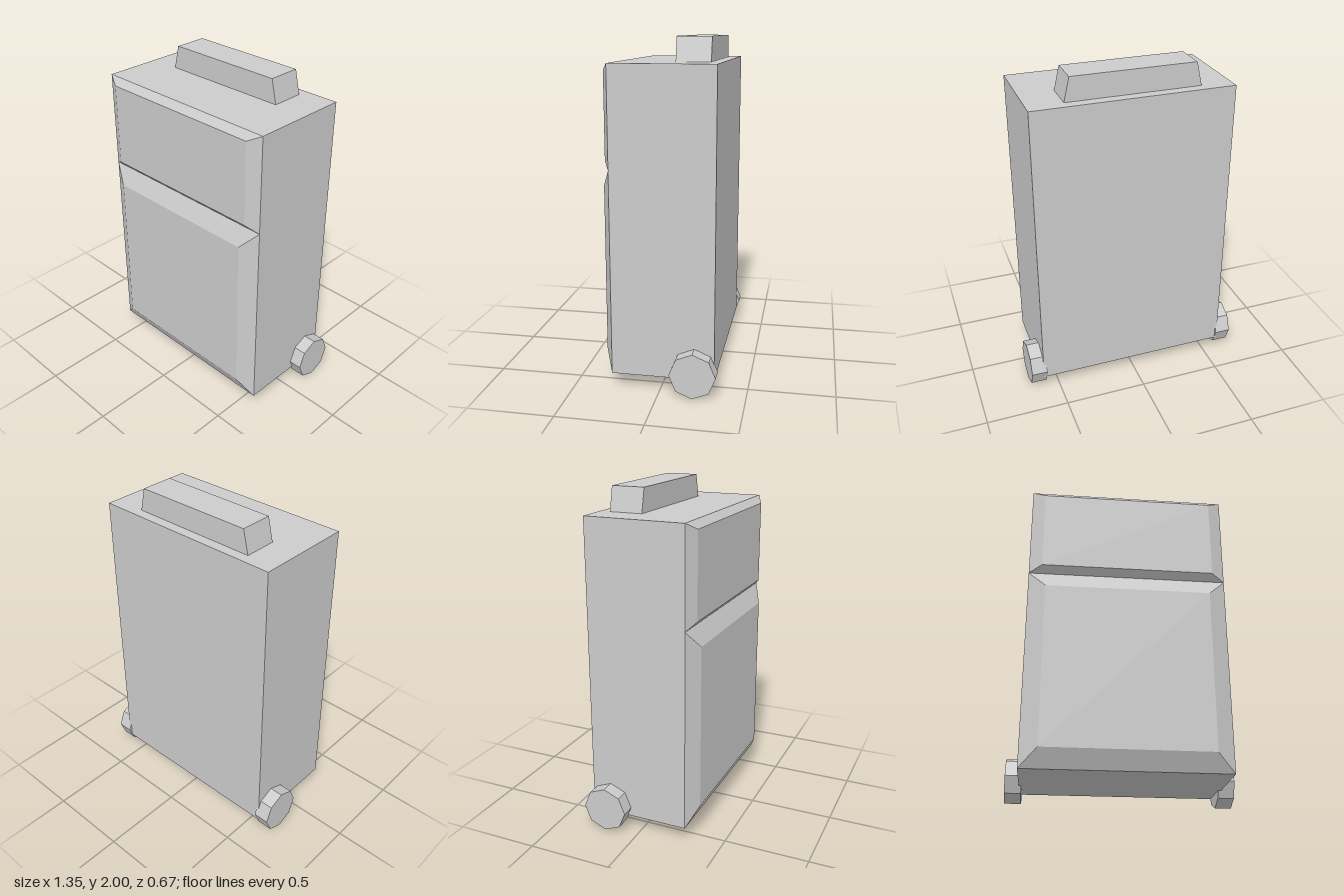
import * as THREE from 'three';

const material = new THREE.MeshStandardMaterial({ color: 0xcccccc, flatShading: true });

function addMesh(parent, name, geometry, x, y, z) {
  const mesh = new THREE.Mesh(geometry, material);
  mesh.name = name;
  mesh.position.set(x, y, z);
  parent.add(mesh);
  return mesh;
}

// Box whose +axis face is inset on the other two axes
function taperedBox(w, h, d, axis, inset) {
  const geometry = new THREE.BoxGeometry(w, h, d);
  const p = geometry.attributes.position;
  const v = new THREE.Vector3();
  for (let i = 0; i < p.count; i++) {
    v.fromBufferAttribute(p, i);
    if (v[axis] > 0) {
      for (const k of Object.keys(inset)) v[k] -= Math.sign(v[k]) * inset[k];
    }
    p.setXYZ(i, v.x, v.y, v.z);
  }
  geometry.computeVertexNormals();
  return geometry;
}

export function createModel() {
  const model = new THREE.Group();
  model.name = 'suitcase';

  // Main case
  const width = 1.19, cx = 0.002, front = 0.283, back = -0.315;
  const bottom = 0.083, split = 1.28, top = 1.86;
  addMesh(model, 'body', new THREE.BoxGeometry(width, top - bottom, front - back),
    cx, (top + bottom) / 2, (front + back) / 2);

  // Bevelled front pockets
  const pockets = [
    ['lowerPocket', bottom, split, 0.054, { x: 0.103, y: 0.107 }],
    ['upperPocket', split, top, 0.039, { x: 0.078, y: 0.04 }],
  ];
  for (const [name, y0, y1, depth, inset] of pockets) {
    addMesh(model, name, taperedBox(width, y1 - y0, depth, 'z', inset),
      cx, (y0 + y1) / 2, front + depth / 2);
  }

  // Top handle, narrowing upwards
  addMesh(model, 'handle', taperedBox(0.796, 0.14, 0.198, 'y', { x: 0.032 }), -0.01, 1.93, -0.154);

  // Octagonal wheels at the lower back corners
  for (const [name, side] of [['leftWheel', 1], ['rightWheel', -1]]) {
    const wheel = addMesh(model, name, new THREE.CylinderGeometry(0.134, 0.134, 0.096, 8),
      side * 0.627, 0.135, -0.2);
    wheel.rotation.z = Math.PI / 2;
  }

  return model;
}
